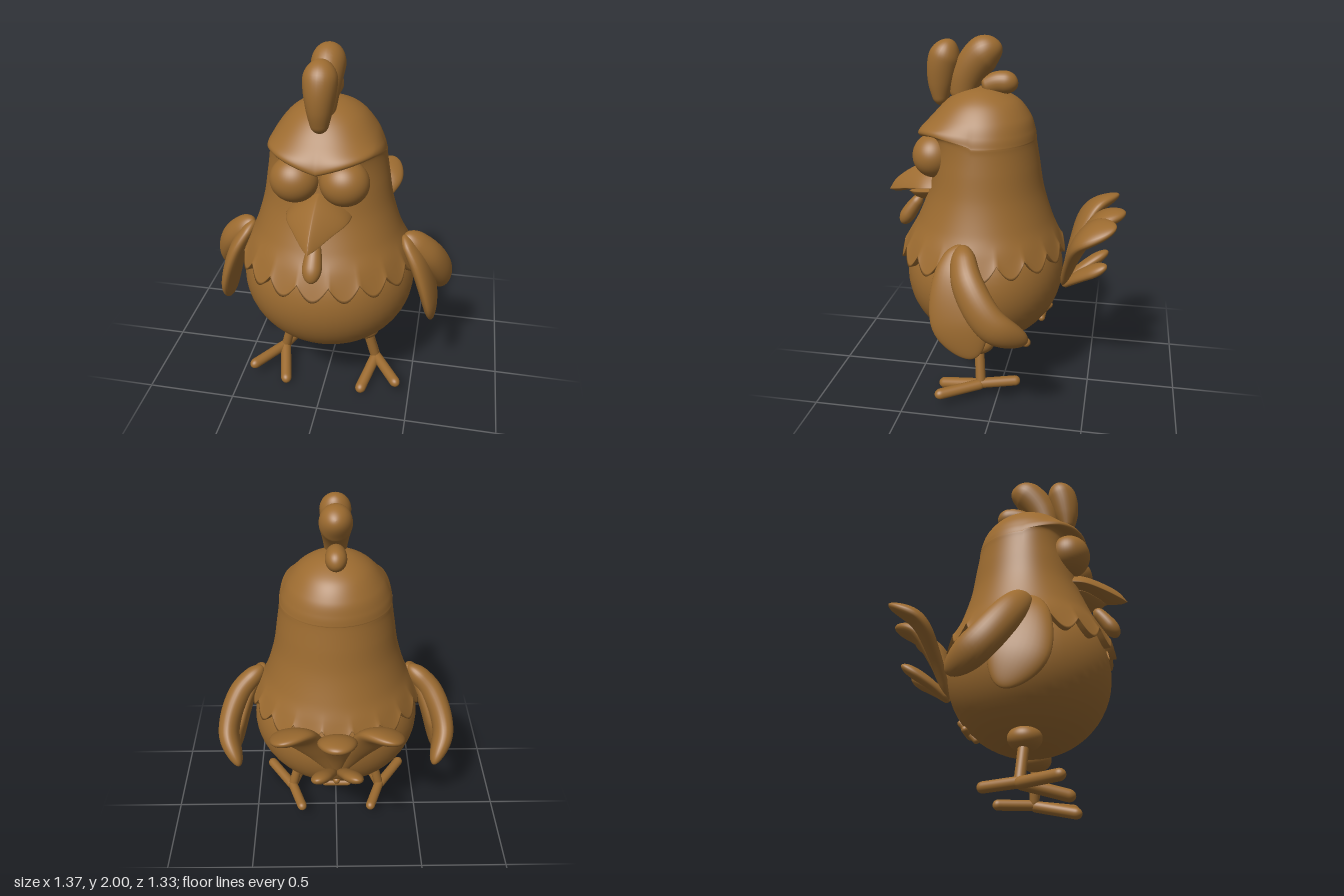
import * as THREE from 'three';

const material = new THREE.MeshStandardMaterial({ color: 0x9c6b30, side: THREE.DoubleSide });

// Smooth interpolation through rows of numbers, t in 0..1
function track(rows) {
  const times = rows.map((_, i) => i / (rows.length - 1));
  const cubic = new THREE.CubicInterpolant(times, rows.flat(), rows[0].length);
  return t => Array.from(cubic.evaluate(t));
}

// Skin a list of closed rings with equal point counts
function loft(rings) {
  const n = rings[0].length, index = [];
  for (let r = 0; r < rings.length - 1; r++) {
    for (let i = 0; i < n; i++) {
      const a = r * n + i, b = r * n + (i + 1) % n;
      index.push(a, b, a + n, b, b + n, a + n);
    }
  }
  const geo = new THREE.BufferGeometry();
  geo.setAttribute('position', new THREE.Float32BufferAttribute(rings.flat(2), 3));
  geo.setIndex(index);
  geo.computeVertexNormals();
  return geo;
}

// Rounded oval sweep; rows are [x, y, z, halfWidth, halfThickness]
function sweep(rows, axis, startCap = 0.15, endCap = 0.25) {
  const at = track(rows), rings = [], steps = 40, sides = 28;
  const wide = new THREE.Vector3(...axis);
  for (let k = 0; k <= steps; k++) {
    const t = (1 - Math.cos(Math.PI * k / steps)) / 2;
    const [x, y, z, w, h] = at(t);
    const p = new THREE.Vector3(x, y, z);
    const T = new THREE.Vector3(...at(Math.min(1, t + 0.01)).slice(0, 3))
      .sub(new THREE.Vector3(...at(Math.max(0, t - 0.01)).slice(0, 3))).normalize();
    const S = wide.clone().addScaledVector(T, -wide.dot(T)).normalize();
    const N = T.clone().cross(S);
    const e = Math.max(0, 1 - t / startCap, 1 - (1 - t) / endCap);
    const f = Math.sqrt(Math.max(0, 1 - e * e));
    rings.push(Array.from({ length: sides }, (_, i) => {
      const a = i / sides * Math.PI * 2;
      return p.clone().addScaledVector(S, w * f * Math.cos(a))
        .addScaledVector(N, h * f * Math.sin(a)).toArray();
    }));
  }
  return loft(rings);
}

// Neck and head with a scalloped hem and an overhanging frown
function headGeometry() {
  // [y, half width, front z, back z, squareness]
  const at = track([
    [0.86, 0.475, 0.575, -0.335, 2], [0.95, 0.435, 0.53, -0.30, 2],
    [1.05, 0.39, 0.475, -0.26, 2], [1.2, 0.345, 0.415, -0.215, 2],
    [1.35, 0.32, 0.385, -0.19, 2], [1.44, 0.306, 0.375, -0.175, 2],
    [1.475, 0.303, 0.39, -0.17, 2.1], [1.487, 0.30, 0.455, -0.17, 2.45],
    [1.53, 0.287, 0.45, -0.162, 2.45], [1.6, 0.252, 0.385, -0.138, 2.3],
    [1.68, 0.185, 0.305, -0.075, 2.1], [1.73, 0.1, 0.22, 0.025, 2],
    [1.75, 0, 0.12, 0.12, 2]]);
  const rows = 110, sides = 216, rings = [];
  for (let k = -1; k <= rows; k++) {
    const [y0, rx, zf, zb, p] = at(Math.max(0, k) / rows);
    const shrink = k < 0 ? 0.92 : 1;
    rings.push(Array.from({ length: sides }, (_, i) => {
      const a = i / sides * Math.PI * 2, s = Math.sin(a), c = Math.cos(a);
      const q = c > 0 ? 2 / p : 1;
      const lobe = Math.abs(Math.cos(9 * a));
      const hem = Math.max(0, 1 - (y0 - 0.86) / 0.16) ** 2;
      const grow = (1 + 0.035 * hem * (lobe - 0.5)) * shrink;
      const x = Math.sign(s) * Math.abs(s) ** q * rx * grow;
      const reach = c > 0 ? zf - 0.12 : 0.12 - zb;
      const z = 0.12 + Math.sign(c) * Math.abs(c) ** q * reach * grow;
      const frown = Math.exp(-(((y0 - 1.487) / 0.07) ** 2)) * Math.max(0, c) ** 0.5;
      const y = y0 + hem * (0.045 - 0.08 * lobe - 0.012 * c)
        + frown * (0.3 * Math.min(Math.abs(x), 0.26) - 0.022);
      return [x, y, z];
    }));
  }
  return loft(rings);
}

// Beak half; rows are [z, y, half width, rise, drop]
function beakGeometry(rows) {
  const at = track(rows), sides = 40;
  return loft(Array.from({ length: 25 }, (_, k) => {
    const [z, y, w, up, down] = at(k / 24);
    return Array.from({ length: sides }, (_, i) => {
      const a = i / sides * Math.PI * 2, s = Math.sin(a), c = Math.cos(a);
      return [w * Math.sign(c) * Math.abs(c) ** 1.6,
        y + Math.sign(s) * Math.abs(s) ** 1.6 * (s > 0 ? up : down), z];
    });
  }));
}

export function createModel() {
  const group = new THREE.Group();
  const add = (name, geo) => {
    const mesh = new THREE.Mesh(geo, material);
    mesh.name = name;
    group.add(mesh);
    return mesh;
  };
  const ball = (name, pos, size) => {
    const mesh = add(name, new THREE.SphereGeometry(1, 48, 32));
    mesh.position.set(...pos);
    mesh.scale.set(...size);
    return mesh;
  };
  const rod = (name, a, b, r) => add(name,
    sweep([[...a, r, r], [...b, r, r]], [0.31, 0.52, 0.79], 0.12, 0.12));

  ball('belly', [0, 0.72, 0.11], [0.475, 0.42, 0.44]);
  add('headAndCollar', headGeometry());

  // Beak and wattle
  add('upperBeak', beakGeometry([
    [0.34, 1.22, 0.17, 0.13, 0.02], [0.44, 1.21, 0.155, 0.115, 0.03],
    [0.54, 1.19, 0.095, 0.085, 0.035], [0.62, 1.165, 0.04, 0.05, 0.025],
    [0.665, 1.15, 0, 0, 0]]));
  add('lowerBeak', beakGeometry([
    [0.34, 1.19, 0.13, 0.02, 0.08], [0.43, 1.18, 0.115, 0.02, 0.08],
    [0.50, 1.16, 0.06, 0.01, 0.05], [0.55, 1.145, 0, 0, 0]]));
  add('wattle', sweep([
    [0, 1.12, 0.48, 0.03, 0.03], [0, 1.03, 0.545, 0.048, 0.042],
    [0, 0.945, 0.60, 0.05, 0.045]], [1, 0, 0], 0.2, 0.4));

  // Comb lobes
  add('frontCombLobe', sweep([
    [0, 1.64, 0.35, 0.035, 0.03], [0, 1.76, 0.345, 0.065, 0.07],
    [0, 1.88, 0.325, 0.083, 0.085], [0, 1.985, 0.285, 0.08, 0.07]], [1, 0, 0], 0.1, 0.3));
  add('middleCombLobe', sweep([
    [0, 1.66, 0.24, 0.05, 0.06], [0, 1.80, 0.20, 0.07, 0.085],
    [0, 1.91, 0.12, 0.086, 0.095], [0, 1.965, 0.02, 0.085, 0.085]], [1, 0, 0], 0.1, 0.35));
  add('backCombLobe', sweep([
    [0, 1.74, 0.12, 0.045, 0.05], [0, 1.77, 0.03, 0.055, 0.06],
    [0, 1.765, -0.07, 0.055, 0.06]], [1, 0, 0], 0.15, 0.35));

  for (const s of [1, -1]) {
    const mirror = rows => rows.map(([x, ...rest]) => [s * x, ...rest]);

    ball('eye', [s * 0.125, 1.395, 0.36], [0.125, 0.118, 0.115]);

    // Wing: a broad front feather and a thicker curled one
    add('broadWingFeather', sweep(mirror([
      [0.41, 1.01, 0.16, 0.05, 0.03], [0.5, 0.86, 0.17, 0.115, 0.045],
      [0.565, 0.66, 0.135, 0.155, 0.045], [0.595, 0.46, 0.06, 0.125, 0.035]]),
    [0, 0, 1], 0.12, 0.35));
    add('curledWingFeather', sweep(mirror([
      [0.42, 1.01, 0.15, 0.06, 0.05], [0.56, 0.86, 0.09, 0.085, 0.065],
      [0.625, 0.68, -0.04, 0.09, 0.06], [0.56, 0.56, -0.21, 0.085, 0.055]]),
    [0, 0.65, -0.75], 0.15, 0.3));

    // Outer tail feathers
    add('sideTailFeather', sweep(mirror([
      [0.01, 0.63, -0.335, 0.02, 0.02], [0.11, 0.85, -0.395, 0.08, 0.035],
      [0.21, 1.02, -0.47, 0.12, 0.045], [0.28, 1.1, -0.62, 0.10, 0.04]]),
    [s, -0.4, 0.4 * 1], 0.1, 0.3));
    add('smallTailFeather', sweep(mirror([
      [0.01, 0.63, -0.335, 0.02, 0.02], [0.055, 0.72, -0.44, 0.05, 0.03],
      [0.11, 0.81, -0.58, 0.055, 0.035]]), [s, -0.3, 0.2], 0.1, 0.3));

    // Legs and three-toed feet
    ball('hip', [s * 0.21, 0.335, 0.11], [0.088, 0.065, 0.088]);
    rod('leg', [s * 0.22, 0.33, 0.11], [s * 0.28, 0.09, 0.09], 0.028);
    rod('outerToe', [s * 0.27, 0.1, 0.07], [s * 0.435, 0.1, 0.32], 0.03);
    rod('frontToe', [s * 0.285, 0.105, 0.07], [s * 0.215, 0.038, 0.35], 0.031);
    rod('backToe', [s * 0.29, 0.105, 0.12], [s * 0.205, 0.1, -0.125], 0.029);
  }

  add('middleTailFeather', sweep([
    [0, 0.63, -0.335, 0.02, 0.02], [0, 0.85, -0.415, 0.07, 0.035],
    [0, 1.02, -0.52, 0.1, 0.045], [0, 1.09, -0.665, 0.1, 0.045]], [1, 0, 0], 0.1, 0.3));

  // Small crossed ridges under the tail
  rod('ridgeAcross', [-0.085, 0.44, -0.225], [0.085, 0.44, -0.225], 0.02);
  rod('ridgeUpright', [0, 0.51, -0.275], [0, 0.385, -0.165], 0.02);

  return group;
}
